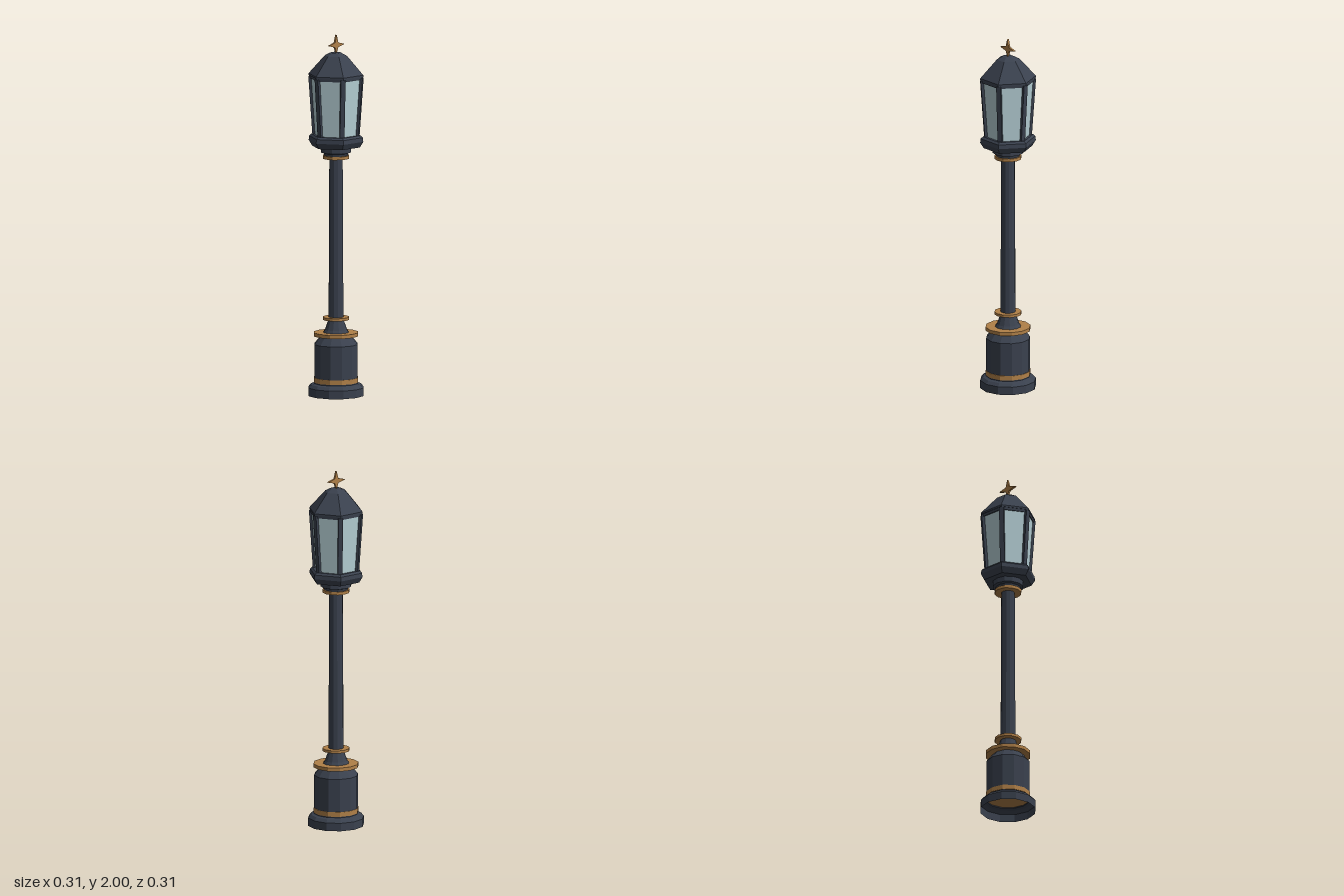
import * as THREE from 'three';

export function createModel() {
  const group = new THREE.Group();
  const mat = (name, color) => {
    const m = new THREE.MeshStandardMaterial({ color, flatShading: true });
    m.name = name;
    return m;
  };
  const iron = mat('dark iron', 0x3a414e);
  iron.side = THREE.DoubleSide;
  const gold = mat('brass', 0xb08048);
  const glass = mat('pale glass', 0xb6d0d6);
  glass.side = THREE.DoubleSide;

  const add = (name, geometry, material) => {
    const mesh = new THREE.Mesh(geometry, material);
    mesh.name = name;
    group.add(mesh);
    return mesh;
  };
  // Faceted turned part from [radius, height] pairs, listed bottom to top
  const turned = (name, profile, sides = 12, start = 0, material = iron) => {
    const pts = profile.map(([r, y]) => new THREE.Vector2(r, y));
    const g = new THREE.LatheGeometry(pts, sides, start).toNonIndexed();
    g.computeVertexNormals();
    return add(name, g, material);
  };
  const ring = (name, r, y0, y1) =>
    add(name, new THREE.CylinderGeometry(r, r, y1 - y0, 12), gold).position.y = (y0 + y1) / 2;

  // Pedestal, open underneath
  turned('plinth', [[0.155, 0], [0.155, 0.045], [0.14, 0.062], [0.122, 0.068]]);
  turned('pedestal', [[0.122, 0.068], [0.122, 0.285], [0.085, 0.33]]);
  turned('pedestalNeck', [[0.075, 0.345], [0.062, 0.365], [0.046, 0.41], [0.042, 0.425]]);
  ring('lowerBand', 0.125, 0.074, 0.1);
  ring('pedestalRing', 0.125, 0.33, 0.35);
  ring('poleBottomRing', 0.075, 0.42, 0.435);

  // Pole
  turned('pole', [[0.042, 0.43], [0.038, 1.32]]);
  ring('poleTopRing', 0.075, 1.315, 1.332);
  turned('lanternSeat', [[0.066, 1.33], [0.07, 1.345], [0.085, 1.35], [0.085, 1.385]]);

  // Six-sided lantern with corners on the x axis
  const hex = Math.PI / 6;
  turned('lanternBase', [[0, 1.38], [0.135, 1.38], [0.155, 1.412], [0.152, 1.435], [0.14, 1.446], [0, 1.446]], 6, hex);
  turned('glassPanes', [[0.123, 1.44], [0.145, 1.765]], 6, hex, glass);
  turned('topRail', [[0.145, 1.757], [0.151, 1.757], [0.153, 1.78]], 6, hex);
  turned('roof', [[0, 1.772], [0.155, 1.772], [0.155, 1.782], [0.063, 1.885], [0.03, 1.902], [0, 1.902]], 6, hex);

  // Leaning corner posts
  const lean = Math.atan2(0.023, 0.325);
  for (let i = 0; i < 6; i++) {
    const g = new THREE.BoxGeometry(0.018, 0.33, 0.026);
    g.rotateZ(-lean);
    g.translate(0.133, 1.603, 0);
    g.rotateY((i * Math.PI) / 3);
    add('cornerPost', g, iron);
  }

  // Four-pointed star finial
  const star = new THREE.Shape();
  for (let i = 0; i < 8; i++) {
    const a = (i * Math.PI) / 4;
    const r = i % 2 ? 0.018 : i === 2 ? 0.056 : i === 6 ? 0.046 : 0.061;
    star[i ? 'lineTo' : 'moveTo'](Math.cos(a) * r, Math.sin(a) * r);
  }
  star.closePath();
  const finial = new THREE.ExtrudeGeometry(star, { depth: 0.012, bevelEnabled: false });
  finial.translate(0, 1.944, -0.006);
  add('starFinial', finial, gold);

  return group;
}
